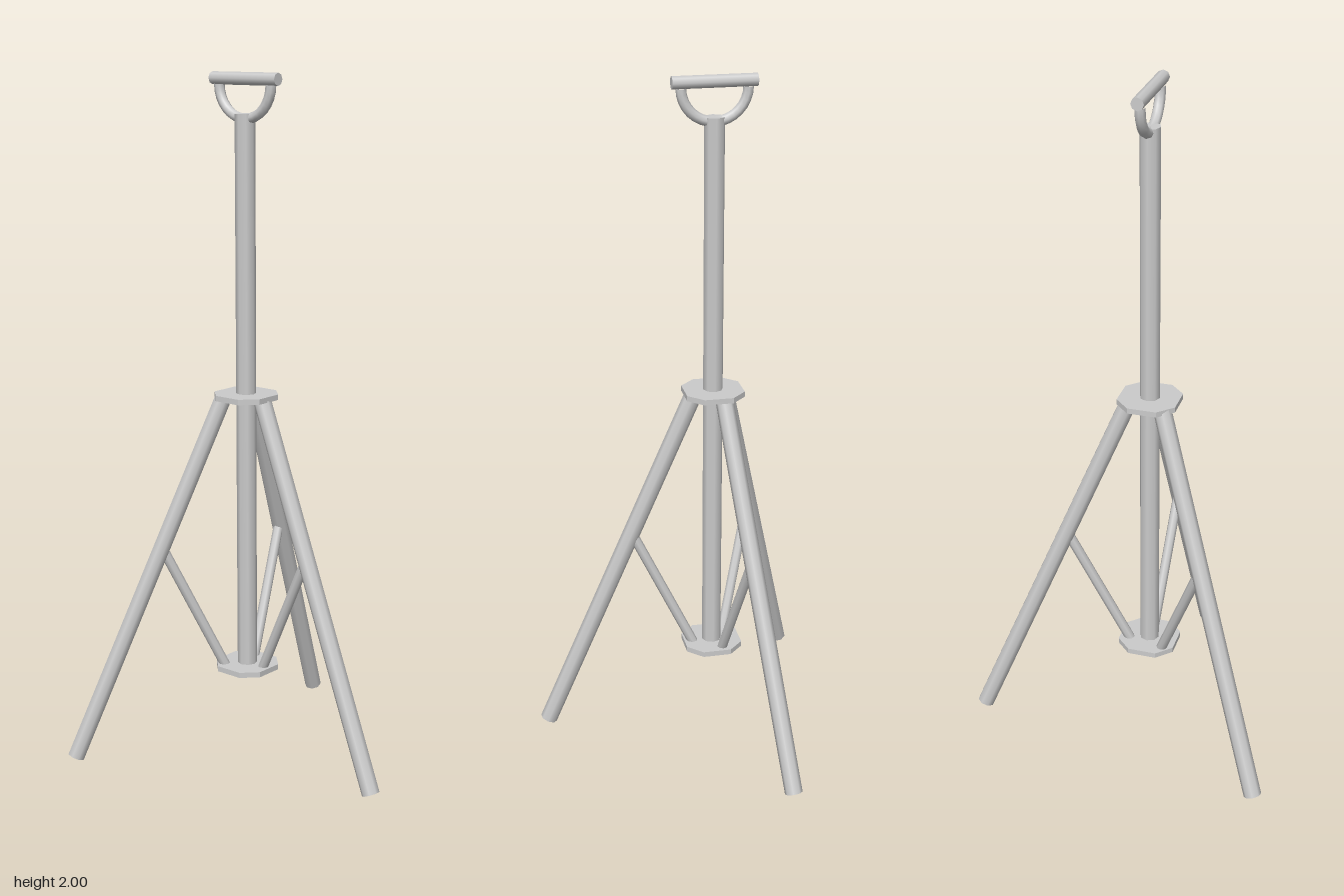
import * as THREE from 'three';

const material = new THREE.MeshStandardMaterial({ color: 0xcccccc });
const CX = -0.093, CZ = 0.041; // pole axis

function addMesh(parent, name, geometry) {
  const mesh = new THREE.Mesh(geometry, material);
  mesh.name = name;
  parent.add(mesh);
  return mesh;
}

// Round bar between two points
function bar(parent, name, from, to, radius) {
  const dir = to.clone().sub(from);
  const mesh = addMesh(parent, name, new THREE.CylinderGeometry(radius, radius, dir.length(), 8));
  mesh.position.copy(from).add(to).multiplyScalar(0.5);
  mesh.quaternion.setFromUnitVectors(new THREE.Vector3(0, 1, 0), dir.normalize());
  return mesh;
}

// Square plate with cut corners, lying flat
function plate(parent, name, bottom, height) {
  const a = 0.085, b = 0.042;
  const corners = [[a, -b], [a, b], [b, a], [-b, a], [-a, b], [-a, -b], [-b, -a], [b, -a]];
  const shape = new THREE.Shape(corners.map(([x, y]) => new THREE.Vector2(x, y)));
  const geometry = new THREE.ExtrudeGeometry(shape, { depth: height, bevelEnabled: false });
  geometry.rotateX(-Math.PI / 2);
  addMesh(parent, name, geometry).position.set(CX, bottom, CZ);
}

export function createModel() {
  const model = new THREE.Group();
  model.name = 'tripodStand';

  // Central pole and its two plates
  bar(model, 'pole', new THREE.Vector3(CX, 0.254, CZ), new THREE.Vector3(CX, 1.886, CZ), 0.029);
  plate(model, 'upperPlate', 1.076, 0.016);
  plate(model, 'lowerPlate', 0.252, 0.016);

  // Legs, each with a strut back to the lower plate: top x, z and foot x, z
  const legs = [
    [-0.035, 0.039, 0.411, 0.096],
    [-0.114, -0.014, -0.229, -0.449],
    [-0.138, 0.09, -0.416, 0.447],
  ];
  for (const [tx, tz, fx, fz] of legs) {
    const top = new THREE.Vector3(tx, 1.08, tz);
    const foot = new THREE.Vector3(fx, 0.011, fz);
    bar(model, 'leg', top, foot, 0.026);
    const joint = top.clone().lerp(foot, 0.41);
    bar(model, 'strut', new THREE.Vector3(tx, 0.262, tz), joint, 0.015);
  }

  // Cradle: half ring under a cross bar
  const ring = addMesh(model, 'cradleRing', new THREE.TorusGeometry(0.094, 0.015, 8, 16, Math.PI));
  ring.rotation.z = Math.PI;
  ring.position.set(CX, 1.966, CZ);
  bar(model, 'crossBar', new THREE.Vector3(-0.212, 1.982, CZ), new THREE.Vector3(0.027, 1.982, CZ), 0.018);

  return model;
}
